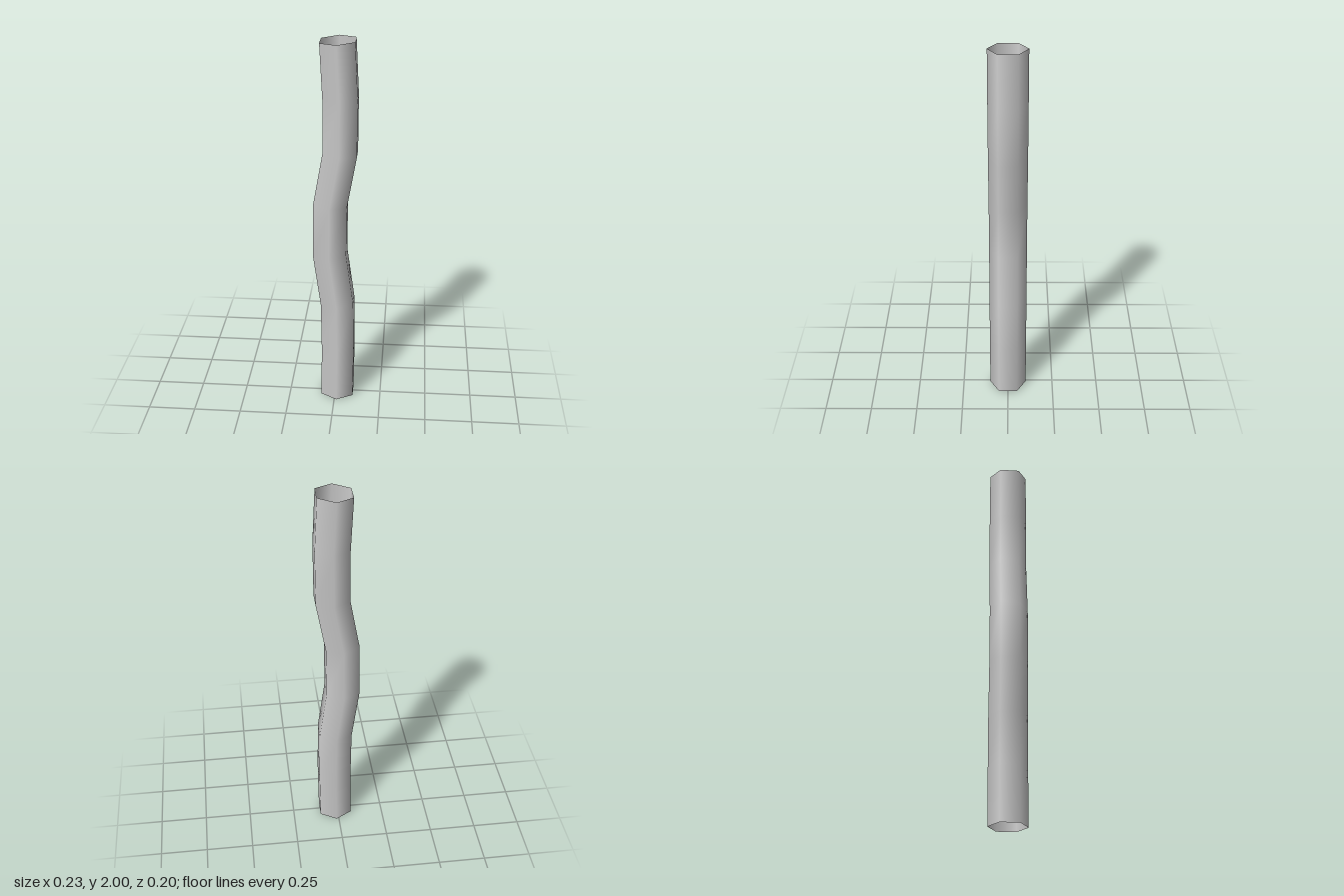
import * as THREE from 'three';

export function createModel() {
  const group = new THREE.Group();
  // Gently wavering centre line, evenly spaced from bottom to top
  const offsets = [0.012, 0.016, 0.012, -0.027, -0.025, 0.025, 0.026, 0.012];
  const segments = offsets.length - 1;
  const path = new THREE.CatmullRomCurve3(
    offsets.map((x, i) => new THREE.Vector3(x, 0.004 + (1.993 * i) / segments, 0))
  );
  // Open six-sided hollow pipe
  const pipe = new THREE.Mesh(
    new THREE.TubeGeometry(path, segments, 0.1, 6, false),
    new THREE.MeshStandardMaterial({ color: 0xcccccc, side: THREE.DoubleSide })
  );
  pipe.name = 'bentPipe';
  group.add(pipe);
  return group;
}
